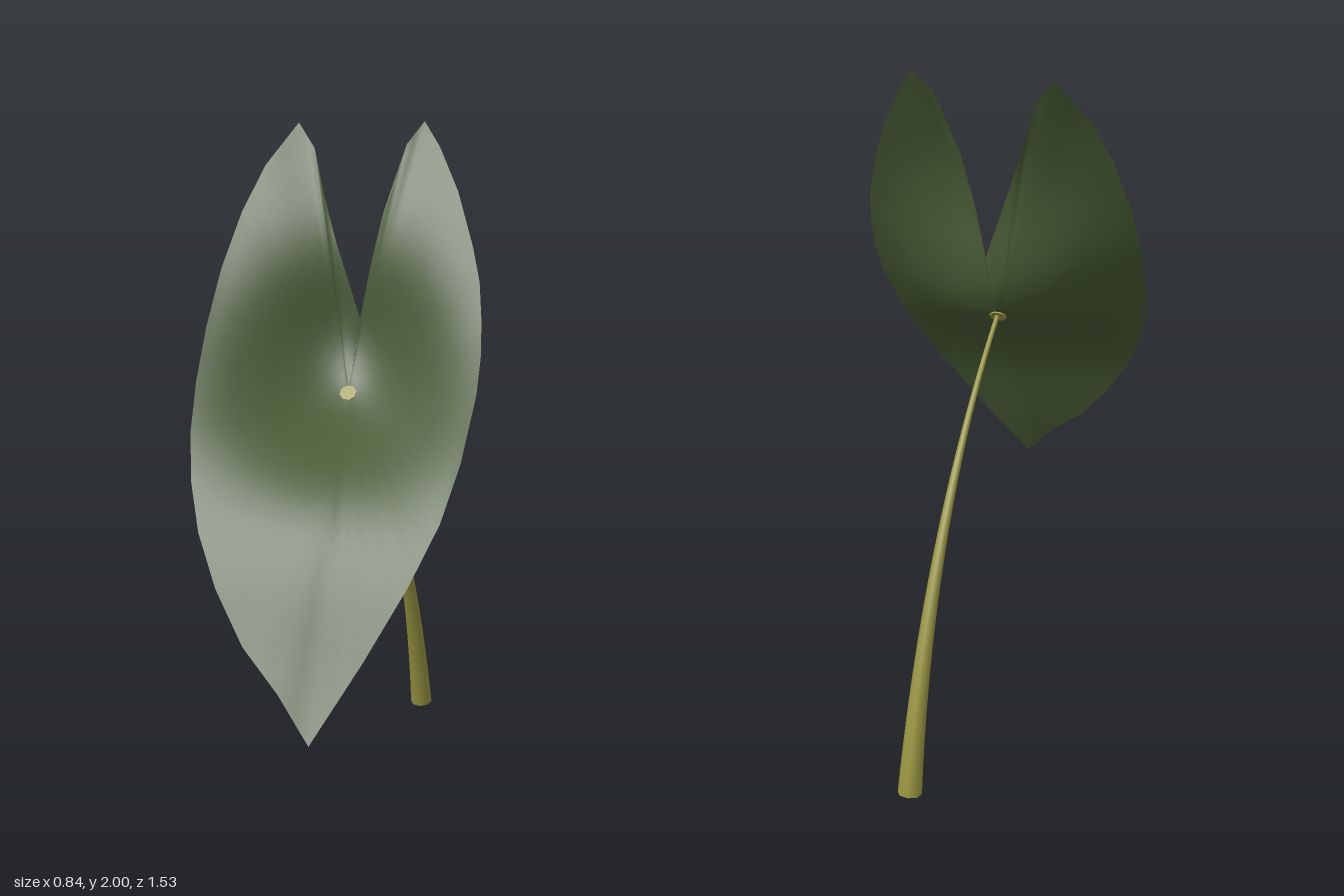
import * as THREE from 'three';

// Leaf outline, clockwise from the notch: x, y, z
const OUTLINE = [
  [0.07, 1.41, -0.05], [0.103, 1.58, -0.036], [0.14, 1.73, -0.055], [0.21, 1.93, -0.118],
  [0.265, 2.0, -0.15], [0.31, 1.92, -0.09], [0.36, 1.79, 0.0], [0.4, 1.63, 0.09],
  [0.417, 1.53, 0.145], [0.42, 1.42, 0.2], [0.415, 1.32, 0.26], [0.4, 1.22, 0.32],
  [0.35, 1.04, 0.44], [0.29, 0.89, 0.54], [0.2, 0.73, 0.625], [0.08, 0.54, 0.69],
  [-0.065, 0.33, 0.765], [-0.15, 0.45, 0.69], [-0.25, 0.56, 0.605], [-0.33, 0.7, 0.51],
  [-0.385, 0.84, 0.41], [-0.413, 0.97, 0.31], [-0.422, 1.1, 0.215], [-0.413, 1.24, 0.11],
  [-0.39, 1.39, 0.015], [-0.35, 1.56, -0.07], [-0.29, 1.73, -0.135], [-0.22, 1.87, -0.19],
  [-0.12, 2.0, -0.255], [-0.07, 1.92, -0.195], [-0.04, 1.78, -0.123], [0.0, 1.63, -0.068],
];
const CX = 0.035, CY = 1.19;

// Tilted plane, slightly swollen below, with a broad dimple around the stem joint
function bladeZ(x, y) {
  const dx = (x - 0.04) / (x < 0.04 ? 0.32 : 0.25), dy = y - 1.25;
  const fall = dy > 0 ? (dy / 0.32) ** 2 : (-dy / 0.225) ** 2.6;
  const plane = 0.265 + 0.22 * (x - CX) - 0.6 * (y - CY);
  return plane + 0.035 * Math.exp(-(((y - 0.8) / 0.25) ** 2)) - 0.25 * Math.exp(-dx * dx - fall);
}

// Rings growing from the stem joint out to the outline
function leafGeometry() {
  const edge = [];
  OUTLINE.forEach((p, i) => {
    const q = OUTLINE[(i + 1) % OUTLINE.length];
    edge.push(p, p.map((v, k) => (v + q[k]) / 2));
  });
  const n = edge.length, rings = 16;
  const pos = [CX, CY, bladeZ(CX, CY)], index = [];
  for (let r = 1; r <= rings; r++) {
    const t = r / rings;
    for (const [ex, ey, ez] of edge) {
      const x = CX + (ex - CX) * t, y = CY + (ey - CY) * t;
      pos.push(x, y, bladeZ(x, y) + t * t * (ez - bladeZ(ex, ey)));
    }
  }
  for (let i = 0; i < n; i++) {
    const j = (i + 1) % n;
    index.push(0, 1 + j, 1 + i);
    for (let r = 0; r < rings - 1; r++) {
      const a = 1 + r * n + i, b = 1 + r * n + j;
      index.push(a, b, b + n, a, b + n, a + n);
    }
  }
  const g = new THREE.BufferGeometry();
  g.setAttribute('position', new THREE.Float32BufferAttribute(pos, 3));
  g.setIndex(index);
  g.computeVertexNormals();
  return g;
}

const stemRadius = (u) => 0.007 + 0.029 * u ** 1.6;

// Tube of unit radius narrowed towards the leaf
function stemGeometry(curve, segments, sides) {
  const g = new THREE.TubeGeometry(curve, segments, 1, sides);
  const p = g.attributes.position, v = new THREE.Vector3();
  for (let i = 0; i < p.count; i++) {
    const u = Math.floor(i / (sides + 1)) / segments;
    const c = curve.getPointAt(u);
    v.fromBufferAttribute(p, i).sub(c).multiplyScalar(stemRadius(u)).add(c);
    p.setXYZ(i, v.x, v.y, v.z);
  }
  return g;
}

export function createModel() {
  const group = new THREE.Group();
  const leafGreen = new THREE.MeshStandardMaterial({ color: 0x475a34, side: THREE.DoubleSide });
  leafGreen.name = 'leafGreen';
  const stemOlive = new THREE.MeshStandardMaterial({ color: 0x979340 });
  stemOlive.name = 'stemOlive';
  const add = (name, geometry, material) => {
    const m = new THREE.Mesh(geometry, material);
    m.name = name;
    group.add(m);
    return m;
  };

  add('leafBlade', leafGeometry(), leafGreen);

  // Arching stem, from the joint down to the cut end
  const curve = new THREE.QuadraticBezierCurve3(
    ...[[0.02, 1.19], [-0.55, 0.79], [-0.735, 0.01]].map(
      ([z, y]) => new THREE.Vector3(0.038 + (0.02 - z) * 0.332, y, z)));
  add('stem', stemGeometry(curve, 28, 8), stemOlive);

  const Z = new THREE.Vector3(0, 0, 1), Y = new THREE.Vector3(0, 1, 0);
  const end = add('stemCutEnd', new THREE.CircleGeometry(stemRadius(1), 8), stemOlive);
  end.position.copy(curve.getPointAt(1));
  end.quaternion.setFromUnitVectors(Z, curve.getTangentAt(1));

  // Small pale spot where the stem meets the blade
  const spot = add('stemJoint', new THREE.CylinderGeometry(0.026, 0.026, 0.009, 8), stemOlive);
  spot.position.set(CX, CY, bladeZ(CX, CY));
  spot.quaternion.setFromUnitVectors(Y, new THREE.Vector3(-0.22, 0.83, 1).normalize());

  return group;
}
